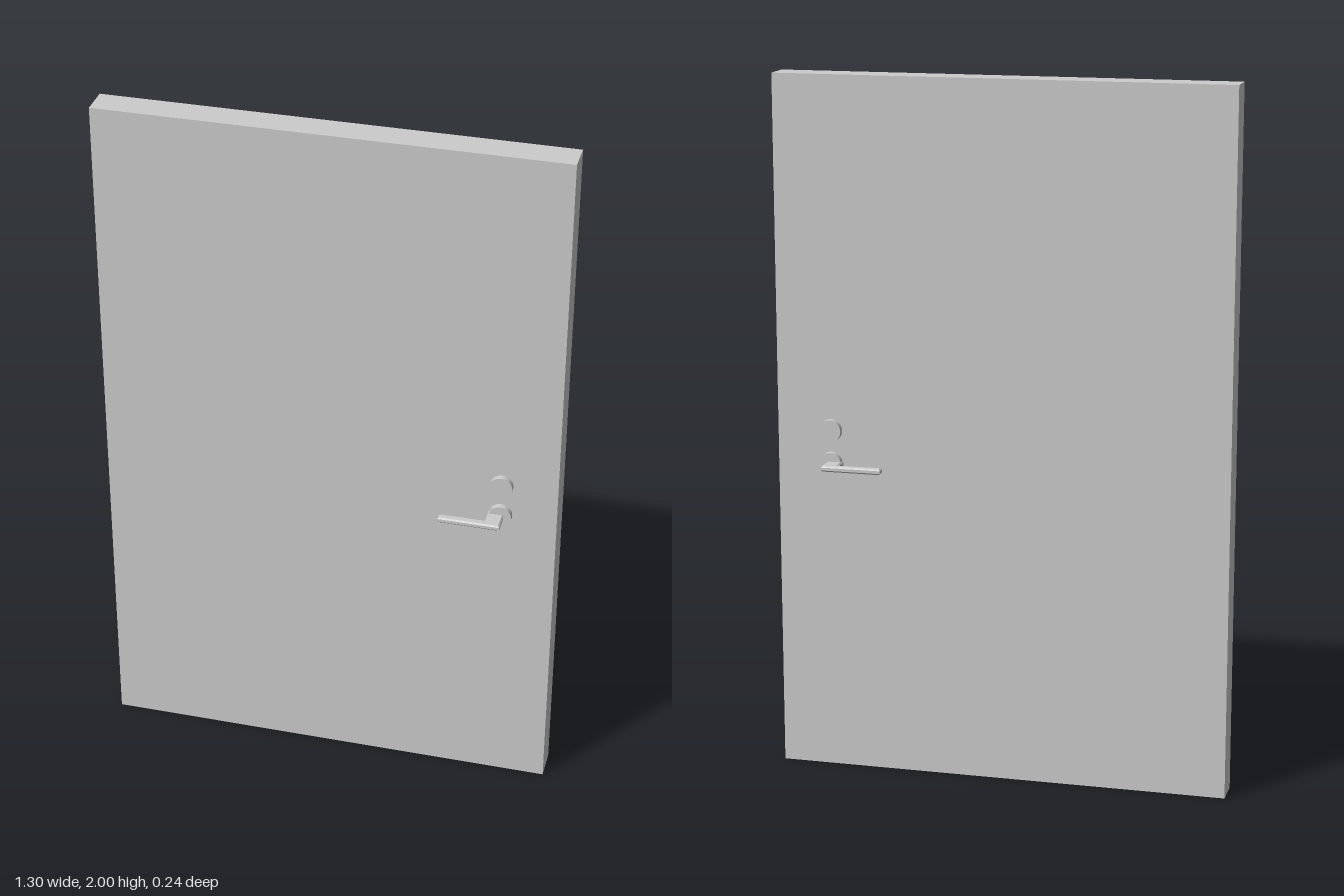
import * as THREE from 'three';

const material = new THREE.MeshStandardMaterial({ color: 0xcccccc });
const HALF_DEPTH = 0.044;

function addMesh(parent, name, geometry, x = 0, y = 0, z = 0) {
  const mesh = new THREE.Mesh(geometry, material);
  mesh.name = name;
  mesh.position.set(x, y, z);
  parent.add(mesh);
  return mesh;
}

// Round plate lying against the door face
function rosetteGeometry() {
  return new THREE.CylinderGeometry(0.032, 0.032, 0.018, 32).rotateX(Math.PI / 2);
}

// L-shaped lever drawn in plan (x, z), with chamfered edges
function leverGeometry() {
  const c = 0.004;
  const plan = [
    [0.458, 0.04], [0.503, 0.04], [0.503, 0.118],
    [0.329, 0.118], [0.329, 0.095], [0.458, 0.095],
  ];
  const shape = new THREE.Shape(plan.map(([x, z]) => new THREE.Vector2(x, -z)));
  const geometry = new THREE.ExtrudeGeometry(shape, {
    depth: 0.008, bevelEnabled: true, bevelThickness: c, bevelSize: c, bevelOffset: -c, bevelSegments: 1,
  });
  return geometry.translate(0, 0, -0.004).rotateX(-Math.PI / 2);
}

// Lock and lever set for one face; side is +1 for front, -1 for back
function createHardware(side) {
  const group = new THREE.Group();
  group.name = side > 0 ? 'frontHardware' : 'backHardware';
  const z = side * (HALF_DEPTH + 0.008);
  addMesh(group, 'lockPlate', rosetteGeometry(), 0.493, 0.998, z);
  addMesh(group, 'handlePlate', rosetteGeometry(), 0.493, 0.903, z);
  const lever = leverGeometry();
  // Turning about x mirrors the symmetric lever to the back face
  if (side < 0) lever.rotateX(Math.PI);
  addMesh(group, 'leverHandle', lever, 0, 0.902, 0);
  return group;
}

export function createModel() {
  const door = new THREE.Group();
  door.name = 'door';
  addMesh(door, 'doorPanel', new THREE.BoxGeometry(1.3, 2, HALF_DEPTH * 2), 0, 1, 0);
  for (const side of [1, -1]) door.add(createHardware(side));
  return door;
}
